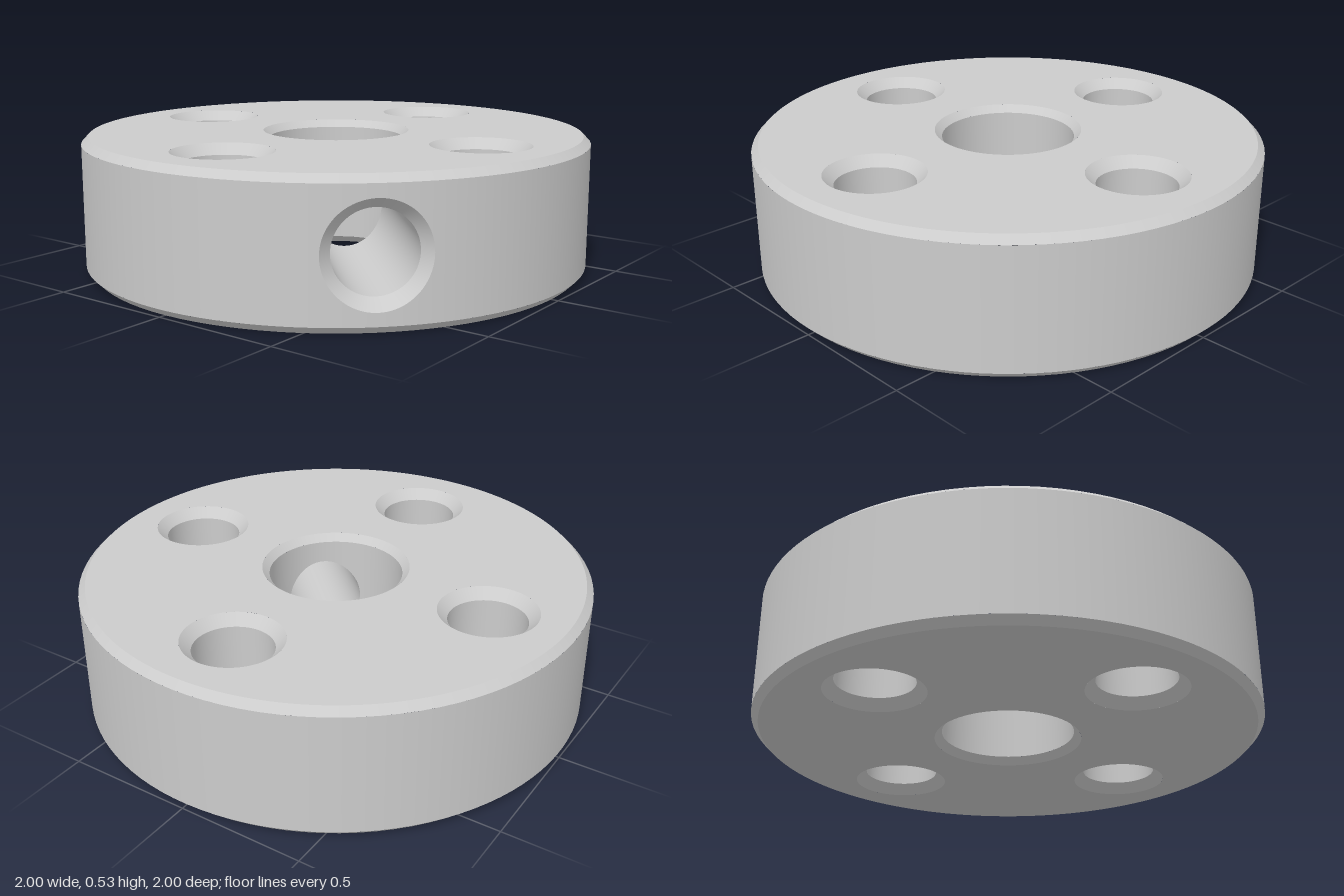
import * as THREE from 'three';
import { mergeGeometries } from 'three/addons/utils/BufferGeometryUtils.js';
import { ParametricGeometry } from 'three/addons/geometries/ParametricGeometry.js';

const H = 0.533, MID = H / 2, SEG = 96;
const OUTER = 1, BORE = 0.262, BEVEL = 0.028;          // disc body and centre bore
const BOLT_R = 0.15, BOLT_RIM = 0.19, BOLT_POS = 0.667; // four bolt holes
const PORT_R = 0.15, PORT_RIM = 0.19, PORT_DEPTH = 0.948; // radial port
const PORT_ANGLE = Math.PI / 4;

// Straight band of revolution: rising profile faces out, falling faces in
const band = (r1, y1, r2, y2, start = 0, length = Math.PI * 2) =>
  new THREE.LatheGeometry([new THREE.Vector2(r1, y1), new THREE.Vector2(r2, y2)], SEG, start, length);

// Vertical through hole with a chamfer of size c at both ends
const holeChamfers = (r, c) => [band(r + c, H, r, H - c), band(r, c, r + c, 0)];

// Sector of a cylindrical wall (half-angle a) pierced by the round port
function piercedWall(R, r, a, facing) {
  const h = MID - BEVEL;
  return new ParametricGeometry((u, v, p) => {
    const t = -facing * u * Math.PI * 2;
    const c = Math.cos(t), s = Math.sin(t), m = Math.max(Math.abs(c), Math.abs(s));
    const angle = THREE.MathUtils.lerp(Math.asin(r * c / R), a * c / m, v);
    const y = THREE.MathUtils.lerp(r * s, h * s / m, v);
    p.set(R * Math.sin(angle), y + MID, R * Math.cos(angle));
  }, SEG, 10).rotateY(PORT_ANGLE);
}

// Inward-facing port surface between two rims; depth is a function of sideways x
function portSection(r1, depth1, r2, depth2) {
  return new ParametricGeometry((u, v, p) => {
    const t = u * Math.PI * 2, c = Math.cos(t);
    const r = THREE.MathUtils.lerp(r1, r2, v);
    const z = THREE.MathUtils.lerp(depth1(r1 * c), depth2(r2 * c), v);
    p.set(r * c, r * Math.sin(t) + MID, z);
  }, SEG, 4).rotateY(PORT_ANGLE);
}

// Flat face with centre and bolt openings
function face() {
  const shape = new THREE.Shape().absarc(0, 0, OUTER - BEVEL, 0, Math.PI * 2);
  const cut = (x, y, r) => shape.holes.push(new THREE.Path().absarc(x, y, r, 0, Math.PI * 2, true));
  cut(0, 0, BORE + BEVEL);
  for (let i = 0; i < 4; i++) {
    const a = i * Math.PI / 2;
    cut(BOLT_POS * Math.cos(a), BOLT_POS * Math.sin(a), BOLT_RIM);
  }
  return new THREE.ShapeGeometry(shape, SEG);
}

export function createModel() {
  const group = new THREE.Group();
  const material = new THREE.MeshStandardMaterial({ color: 0xcccccc });
  const add = (name, ...parts) => {
    const mesh = new THREE.Mesh(mergeGeometries(parts), material);
    mesh.name = name;
    group.add(mesh);
    return mesh;
  };

  // Flat faces
  add('topFace', face().rotateX(-Math.PI / 2).translate(0, H, 0));
  add('bottomFace', face().rotateX(Math.PI / 2));

  // Outer rim with chamfers and the port opening
  const outerA = 0.32, boreA = 0.95;
  add('outerRim',
    band(OUTER - BEVEL, 0, OUTER, BEVEL),
    band(OUTER, H - BEVEL, OUTER - BEVEL, H),
    band(OUTER, BEVEL, OUTER, H - BEVEL, PORT_ANGLE + outerA, 2 * (Math.PI - outerA)),
    piercedWall(OUTER, PORT_RIM, outerA, 1));

  // Centre bore, met by the port
  add('centreBore',
    band(BORE + BEVEL, H, BORE, H - BEVEL),
    band(BORE, BEVEL, BORE + BEVEL, 0),
    band(BORE, H - BEVEL, BORE, BEVEL, PORT_ANGLE + boreA, 2 * (Math.PI - boreA)),
    piercedWall(BORE, PORT_R, boreA, -1));

  // Four bolt holes
  const c = BOLT_RIM - BOLT_R;
  for (let i = 0; i < 4; i++) {
    const a = i * Math.PI / 2;
    const hole = add('boltHole', band(BOLT_R, H - c, BOLT_R, c), ...holeChamfers(BOLT_R, c));
    hole.position.set(BOLT_POS * Math.cos(a), 0, BOLT_POS * Math.sin(a));
  }

  // Radial port: countersink, then a straight tube into the bore
  const onWall = R => x => Math.sqrt(R * R - x * x);
  const flat = () => PORT_DEPTH;
  add('radialPort',
    portSection(PORT_RIM, onWall(OUTER), PORT_R, flat),
    portSection(PORT_R, flat, PORT_R, onWall(BORE)));

  return group;
}
